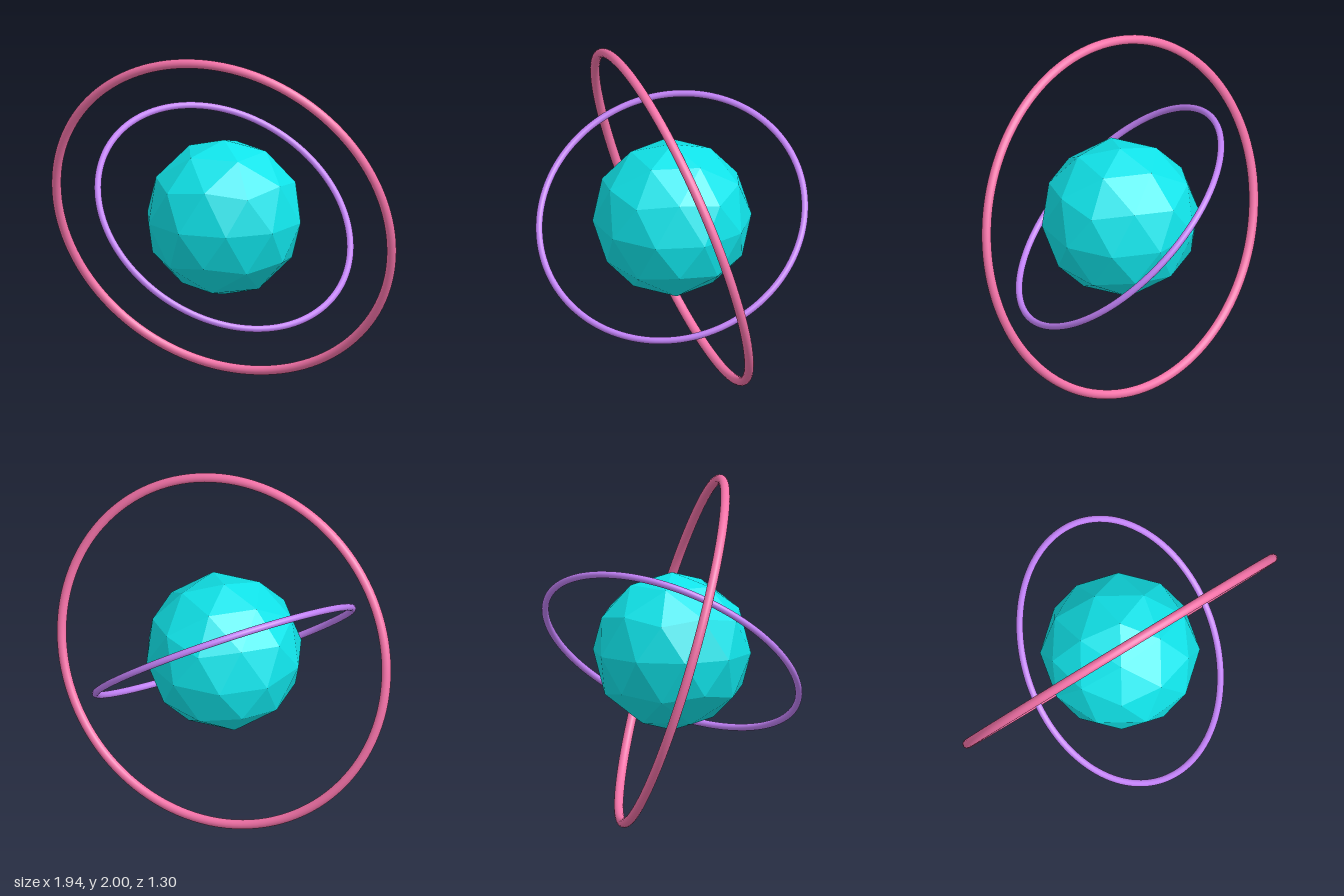
import * as THREE from 'three';

// Smooth ring around the core, lying in the plane with the given normal
function makeRing(name, radius, tube, normal, color) {
  const ring = new THREE.Mesh(
    new THREE.TorusGeometry(radius, tube, 16, 128),
    new THREE.MeshStandardMaterial({ color })
  );
  ring.name = name;
  ring.position.y = 1;
  ring.quaternion.setFromUnitVectors(
    new THREE.Vector3(0, 0, 1),
    new THREE.Vector3(...normal).normalize()
  );
  return ring;
}

export function createModel() {
  const model = new THREE.Group();
  model.name = 'ringedCore';

  // Faceted core, turned so that a five-sided corner points straight up
  const coreGeometry = new THREE.IcosahedronGeometry(0.455, 1);
  coreGeometry.rotateZ(-Math.atan(2 / (1 + Math.sqrt(5))));
  const core = new THREE.Mesh(
    coreGeometry,
    new THREE.MeshStandardMaterial({ color: 0x10e4ea, flatShading: true })
  );
  core.name = 'core';
  core.position.y = 1;
  model.add(core);

  // Two tilted rings
  model.add(makeRing('outerRing', 1.016, 0.027, [-0.367, -0.287, 0.884], 0xf472a8));
  model.add(makeRing('innerRing', 0.77, 0.02, [0.348, 0.741, 0.575], 0xc080f5));

  return model;
}
